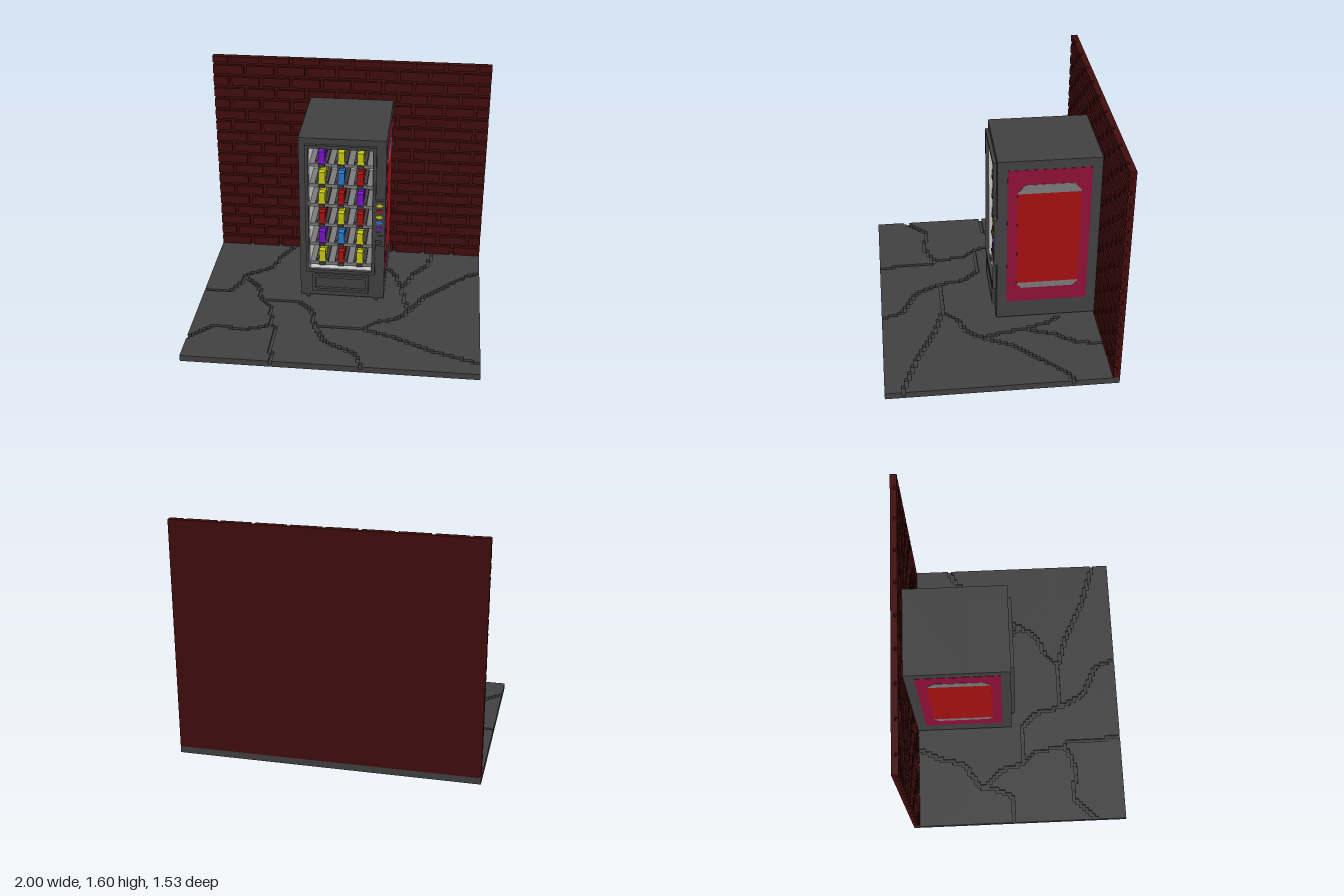
import * as THREE from 'three';
import { mergeGeometries } from 'three/addons/utils/BufferGeometryUtils.js';

// Everything is laid out on a block grid: 90 x 72 x 69 blocks, 45 blocks per unit.
const UNIT = 1 / 45, W = 90, D = 69;

const paint = (name, color) => {
  const m = new THREE.MeshStandardMaterial({ color });
  m.name = name;
  return m;
};

// Box from grid bounds
function box(x0, x1, y0, y1, z0, z1) {
  const g = new THREE.BoxGeometry(x1 - x0, y1 - y0, z1 - z0);
  return g.translate((x0 + x1) / 2, (y0 + y1) / 2, (z0 + z1) / 2);
}

// Rectangular frame around an opening, as four boxes
function frame([x0, x1, y0, y1], [a0, a1, b0, b1], z0, z1) {
  return [
    box(x0, a0, y0, y1, z0, z1), box(a1, x1, y0, y1, z0, z1),
    box(a0, a1, y0, b0, z0, z1), box(a0, a1, b1, y1, z0, z1),
  ];
}

// Thin plate on a side of the cabinet, outlined by [z, y] points
function sidePlate(points, side, thick) {
  const shape = new THREE.Shape(points.map(([z, y]) => new THREE.Vector2(-side * z, y)));
  const g = new THREE.ExtrudeGeometry(shape, { depth: thick, bevelEnabled: false });
  return g.rotateY(side * Math.PI / 2).translate(side > 0 ? 59 : 32, 0, 0);
}

export function createModel() {
  const dark = paint('darkGrey', 0x404040);
  const brick = paint('brickRed', 0x400c0c);
  const crimson = paint('crimson', 0x8e1038);
  const red = paint('red', 0xa31010);
  const grey = paint('midGrey', 0x7a7a7a);
  const light = paint('lightGrey', 0xc6c6c6);
  const yellow = paint('yellow', 0xc6c612);
  const blue = paint('blue', 0x2a76c6);
  const purple = paint('purple', 0x7612c6);

  const model = new THREE.Group();
  model.name = 'vendingMachineScene';
  const blocks = new THREE.Group();
  blocks.name = 'blocks';
  blocks.scale.setScalar(UNIT);
  blocks.position.set(-1, 0, -D * UNIT / 2);
  model.add(blocks);
  const add = (name, material, geometries) => {
    const mesh = new THREE.Mesh(mergeGeometries(geometries), material);
    mesh.name = name;
    blocks.add(mesh);
  };

  // Pavement: cracks are one block wide and one block deep
  const cracks = [
    [[25, 2], [21, 10], [20, 16], [11, 22], [13, 25], [17, 28], [19, 36], [31, 36], [36, 40],
      [38, 49], [42, 57], [52, 62], [54, 68]],
    [[0, 32], [8, 32], [10, 28], [12, 23]],
    [[19, 36], [23, 40], [24, 49], [26, 51], [26, 60], [27, 68]],
    [[24, 50], [17, 53], [7, 52], [3, 55], [0, 59]],
    [[39, 49], [53, 49], [57, 45], [64, 42], [68, 36], [71, 30], [79, 21], [85, 15], [89, 13]],
    [[53, 49], [64, 53], [76, 59], [89, 63]],
    [[73, 2], [72, 9], [67, 16], [65, 22], [64, 24], [65, 32], [67, 37]],
    [[59, 13], [62, 18], [63, 23]],
  ];
  const cracked = new Set();
  for (const path of cracks) {
    for (let i = 1; i < path.length; i++) {
      const [ax, az] = path[i - 1], [bx, bz] = path[i];
      for (let s = 0; s <= 100; s++) {
        const t = s / 100;
        cracked.add(Math.round(ax + (bx - ax) * t) + W * Math.round(az + (bz - az) * t));
      }
    }
  }
  const paving = [box(0, W, 0, 1, 0, D)];
  for (let z = 0; z < D; z++) {
    let start = 0;
    for (let x = 0; x <= W; x++) {
      if (x < W && !cracked.has(x + W * z)) continue;
      if (x > start) paving.push(box(start, x, 1, 2, z, z + 1));
      start = x + 1;
    }
  }
  add('pavement', dark, paving);

  // Brick wall: backing slab with staggered raised bricks
  const bricks = [box(0, W, 2, 72, 0, 1)];
  for (let row = 0; row < 18; row++) {
    const y = 2 + row * 4, top = Math.min(y + 3, 72);
    let start = 0;
    for (let gap = row % 2 ? 5 : 10; start < W; gap += 10) {
      bricks.push(box(start, Math.min(gap, W), y, top, 1, 2));
      start = gap + 1;
    }
  }
  add('brickWall', brick, bricks);

  // Cabinet: solid rear, hollow display space in front, two runners below
  const opening = [35, 55, 13, 56];
  const back = 21;
  add('cabinet', dark, [
    box(32, 59, 3, 59, 2, back),
    ...frame([32, 59, 3, 59], opening, back, 33),
  ]);
  add('runners', dark, [box(34, 35, 2, 3, 2, 33), box(56, 57, 2, 3, 2, 33)]);
  add('doorFrame', dark, frame([34, 56, 12, 57], opening, 33, 34));
  add('collectionTray', dark, frame([36, 54, 5, 11], [37, 53, 6, 10], 33, 34));

  // Light lining of the display space
  add('displayLining', light, [
    box(35, 55, 13, 56, back, back + 0.2),
    ...frame(opening, [35.2, 54.8, 13.2, 55.8], back, 33),
  ]);

  // Shelves, rails and rows of cans
  const stock = [
    [purple, yellow, yellow],
    [yellow, blue, red],
    [yellow, red, purple],
    [red, yellow, red],
    [purple, blue, yellow],
    [yellow, red, yellow],
  ];
  const shelves = [], rails = [];
  const cans = new Map();
  stock.forEach((colours, row) => {
    const y = 50 - row * 7;
    shelves.push(box(35.2, 54.8, y - 1, y, back + 0.2, 32));
    colours.forEach((colour, column) => {
      const x = 39 + column * 6;
      rails.push(box(x - 2, x - 1, y, y + 1, back + 0.2, 32));
      rails.push(box(x + 1, x + 2, y, y + 1, back + 0.2, 32));
      rails.push(box(x - 1, x + 1, y - 1, y, 32, 32.5));
      if (!cans.has(colour)) cans.set(colour, []);
      for (const z of [22, 26, 30]) cans.get(colour).push(box(x - 1, x + 1, y, y + 4, z, z + 2));
    });
  });
  add('shelves', grey, shelves);
  add('canRails', dark, rails);
  for (const [colour, list] of cans) add(colour.name + 'Cans', colour, list);

  // Control panel with selection buttons, keypad and coin slot
  add('controlPanel', dark, [box(56, 59, 23, 39, 33, 34)]);
  [yellow, red, yellow, blue, purple].forEach((colour, i) => {
    const y = 37 - i * 2;
    add('button' + (i + 1), colour, [
      box(56.2, 58.2, y + 0.25, y + 0.75, 34, 34.2),
      box(56.5, 57.9, y, y + 1, 34, 34.2),
    ]);
  });
  add('keypad', dark, [26, 27.2].map((y) => box(56.2, 58.4, y, y + 0.9, 34, 34.2)));
  add('coinSlot', dark, [box(56, 58, 24, 25, 34, 35)]);

  // Painted panels on both sides
  for (const side of [1, -1]) {
    const label = side > 0 ? 'left' : 'right';
    add(label + 'Panel', crimson, [sidePlate([[5, 9], [30, 9], [30, 56], [5, 56]], side, 0.1)]);
    add(label + 'PanelCentre', red, [sidePlate([[8, 16], [27, 16], [27, 48], [8, 48]], side, 0.2)]);
    add(label + 'PanelBands', grey, [
      sidePlate([[8, 48], [27, 48], [27, 48.5], [24.6, 51], [10.2, 51], [8, 48.5]], side, 0.2),
      sidePlate([[8, 16], [27, 16], [27, 15.6], [25.4, 14], [9.6, 14], [8, 15.6]], side, 0.2),
    ]);
  }

  return model;
}
